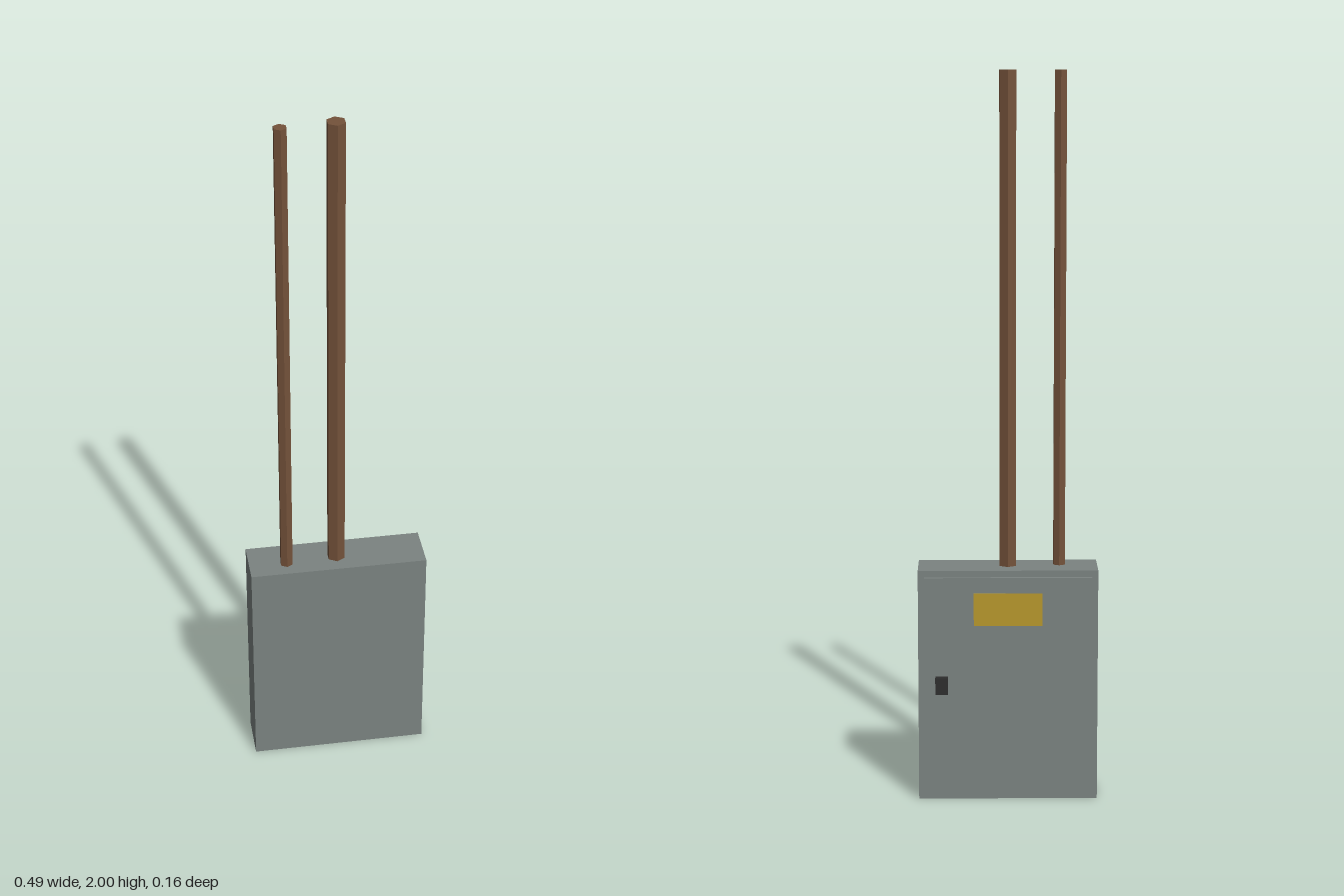
import * as THREE from 'three';

const steel = new THREE.MeshStandardMaterial({ name: 'grey steel', color: 0x7b8381 });
const copper = new THREE.MeshStandardMaterial({ name: 'brown conduit', color: 0x74523a, flatShading: true });
const yellow = new THREE.MeshStandardMaterial({ name: 'yellow label', color: 0xb8982a });
const black = new THREE.MeshStandardMaterial({ name: 'black plastic', color: 0x2c2c2c });

// Box given by its lower and upper corners
function block(name, material, [x0, y0, z0], [x1, y1, z1]) {
  const mesh = new THREE.Mesh(new THREE.BoxGeometry(x1 - x0, y1 - y0, z1 - z0), material);
  mesh.position.set((x0 + x1) / 2, (y0 + y1) / 2, (z0 + z1) / 2);
  mesh.name = name;
  return mesh;
}

// Six-sided conduit rising from the cabinet top
function conduit(name, radius, x, z) {
  const bottom = 0.65, top = 2;
  const mesh = new THREE.Mesh(new THREE.CylinderGeometry(radius, radius, top - bottom, 6), copper);
  mesh.position.set(x, (bottom + top) / 2, z);
  mesh.name = name;
  return mesh;
}

export function createModel() {
  const model = new THREE.Group();
  model.name = 'electricalCabinet';
  model.add(
    block('cabinet', steel, [-0.247, 0, -0.05], [0.247, 0.65, 0.08]),
    // Door, label and latch sit on the -z side
    block('door', steel, [-0.23, 0.018, -0.06], [0.23, 0.632, -0.05]),
    block('label', yellow, [-0.094, 0.498, -0.064], [0.094, 0.589, -0.06]),
    block('latch', black, [0.165, 0.308, -0.08], [0.2, 0.355, -0.06]),
    conduit('mainConduit', 0.026, 0, 0.02),
    conduit('smallConduit', 0.0185, -0.142, 0.031),
  );
  return model;
}
